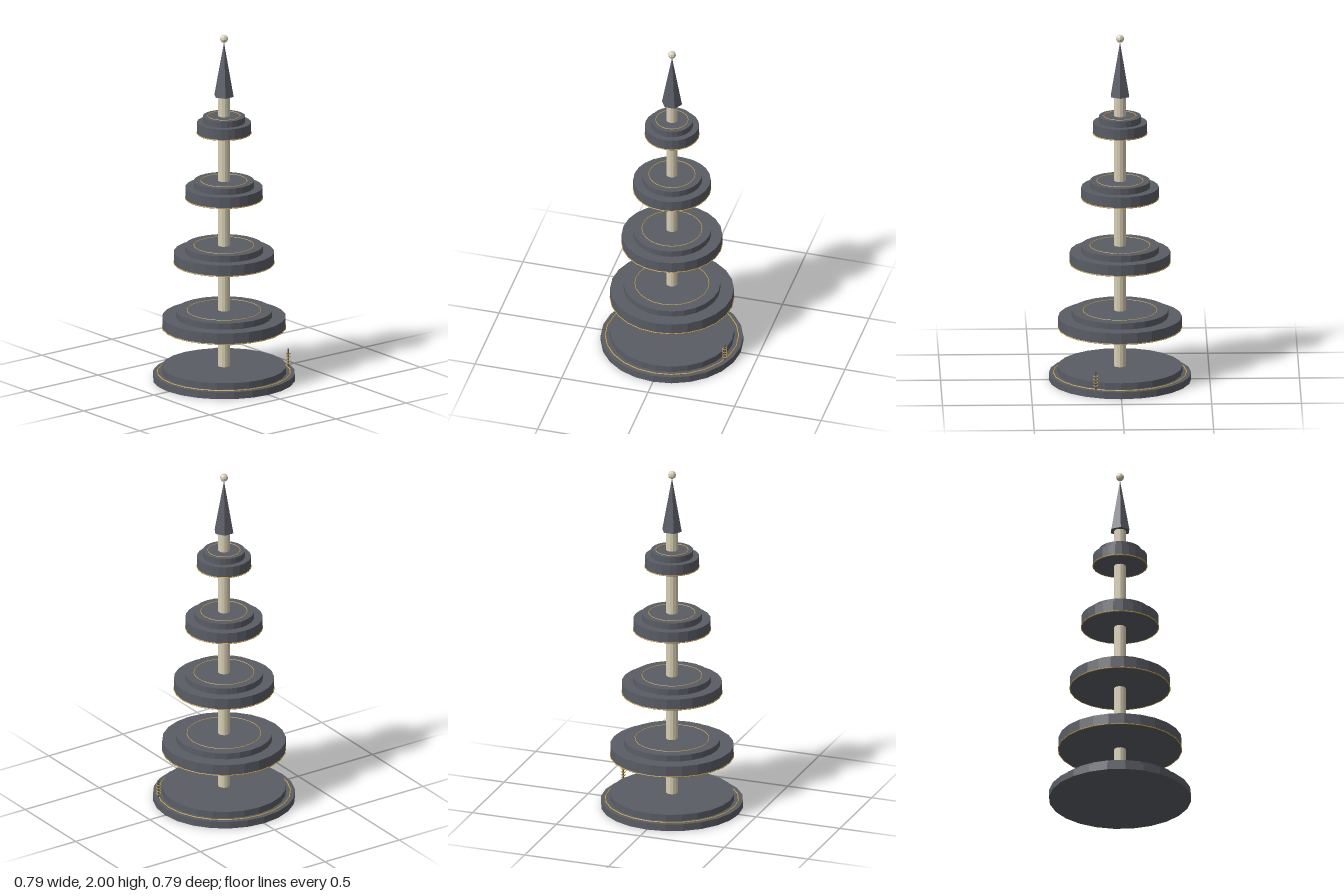
import * as THREE from 'three';

export function createModel() {
  const model = new THREE.Group();
  const mat = (name, color) => {
    const m = new THREE.MeshStandardMaterial({ color, flatShading: true });
    m.name = name;
    return m;
  };
  const slate = mat('slate', 0x5a5d65);
  const ivory = mat('ivory', 0xd8cfb4);
  const gold = mat('gold', 0xc9a040);

  const add = (name, geometry, material, y, parent = model) => {
    const mesh = new THREE.Mesh(geometry, material);
    mesh.name = name;
    mesh.position.y = y;
    parent.add(mesh);
    return mesh;
  };
  // upright cylinder between two heights
  const disc = (name, r, y0, y1, material, sides = 24, parent = model) =>
    add(name, new THREE.CylinderGeometry(r, r, y1 - y0, sides), material, (y0 + y1) / 2, parent);
  // thin horizontal trim ring
  const ring = (name, r, y, tube = 0.003, sides = 24, parent = model) =>
    add(name, new THREE.TorusGeometry(r, tube, 6, sides).rotateX(Math.PI / 2), gold, y, parent);

  // stepped base with trim
  disc('baseLower', 0.397, 0, 0.04, slate);
  disc('baseUpper', 0.347, 0.04, 0.078, slate);
  ring('baseTrim', 0.372, 0.042);

  // central column
  disc('column', 0.033, 0.078, 1.65, ivory, 12);

  // four shrinking tiers
  [0.345, 0.28, 0.216, 0.151].forEach((r, i) => {
    const tier = new THREE.Group();
    tier.name = 'tier' + (i + 1);
    tier.position.y = 0.302 + i * 0.376;
    model.add(tier);
    disc('tierLower', r, 0, 0.064, slate, 24, tier);
    disc('tierUpper', r * 0.78, 0.064, 0.1, slate, 24, tier);
    ring('tierEdgeTrim', r, 0.001, 0.003, 24, tier);
    ring('tierTopTrim', r * 0.6, 0.1, 0.002, 24, tier);
  });

  // six-sided spire and finial ball
  add('spire', new THREE.ConeGeometry(0.058, 0.312, 6), slate, 1.801);
  add('finial', new THREE.SphereGeometry(0.023, 8, 6), ivory, 1.977);

  // small ringed post near the back rim
  const post = new THREE.Group();
  post.name = 'ringedPost';
  post.position.set(0.143, 0, -0.344);
  model.add(post);
  disc('postRod', 0.005, 0.04, 0.146, slate, 6, post);
  for (let i = 0; i < 4; i++) ring('postRing', 0.013, 0.064 + i * 0.018, 0.002, 10, post);

  return model;
}
